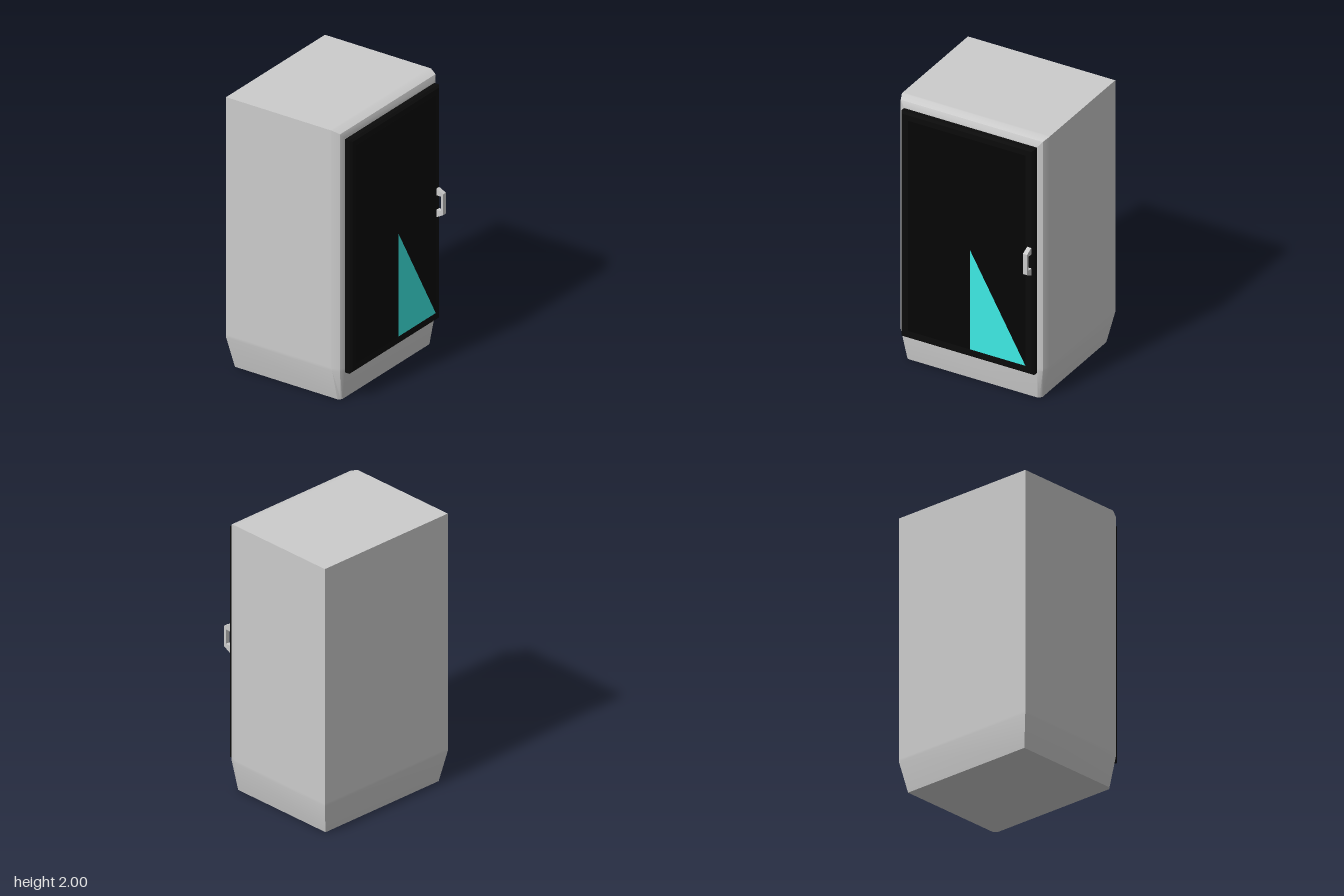
import * as THREE from 'three';
import { toCreasedNormals } from 'three/addons/utils/BufferGeometryUtils.js';

const grey = new THREE.MeshStandardMaterial({ color: 0xcccccc });
const black = new THREE.MeshStandardMaterial({ color: 0x0b0b0b });
const glassBlack = new THREE.MeshStandardMaterial({ color: 0x050505 });
const teal = new THREE.MeshStandardMaterial({ color: 0x3eece5 });

function add(group, name, geometry, material) {
  const mesh = new THREE.Mesh(geometry, material);
  mesh.name = name;
  group.add(mesh);
  return mesh;
}

// Half outline of a horizontal section, back to front: side wall, chamfer, front edge
const section = (y, x, back, chamfer, mid, front) => ({
  y,
  pts: [[x, back], [x, chamfer - 0.015], [x, chamfer], mid, front],
});

// Cabinet shell: mirrored sections stacked from the tapered foot to the chamfered top
function bodyGeometry() {
  const wall = (y) => section(y, 0.565, -0.515, 0.345, [0.545, 0.395], [0.512, 0.411]);
  const rings = [
    section(0, 0.52, -0.475, 0.355, [0.507, 0.373], [0.497, 0.38]),
    wall(0.225),
    wall(0.245),
    wall(1.94),
    section(1.98, 0.565, -0.515, 0.345, [0.545, 0.395], [0.545, 0.395]),
    section(2, 0.565, -0.515, 0.345, [0.565, 0.345], [0.565, 0.345]),
  ];
  const half = 5, n = half * 2;
  const positions = [], index = [];
  for (const { y, pts } of rings) {
    for (const [x, z] of pts) positions.push(x, y, z);
    for (const [x, z] of [...pts].reverse()) positions.push(-x, y, z);
  }
  const quad = (a, b, c, d) => index.push(a, b, c, a, c, d);
  for (let r = 0; r < rings.length - 1; r++) {
    for (let i = 0; i < n; i++) {
      const j = (i + 1) % n, lo = r * n, hi = lo + n;
      quad(lo + i, hi + i, hi + j, lo + j);
    }
  }
  // Floor and top, closed by strips between mirrored points
  const top = (rings.length - 1) * n;
  for (let i = 0; i < half - 1; i++) {
    const a = i, b = i + 1, c = n - 2 - i, d = n - 1 - i;
    quad(a, b, c, d);
    quad(top + d, top + c, top + b, top + a);
  }
  const geometry = new THREE.BufferGeometry();
  geometry.setAttribute('position', new THREE.Float32BufferAttribute(positions, 3));
  geometry.setIndex(index);
  return toCreasedNormals(geometry, 0.5);
}

const polygon = (points) => new THREE.Shape(points.map(([x, y]) => new THREE.Vector2(x, y)));

export function createModel() {
  const model = new THREE.Group();
  model.name = 'cabinet';
  add(model, 'body', bodyGeometry(), grey);

  // Door slab with chamfered edges, its back edge sunk into the body
  const door = new THREE.Group();
  door.name = 'door';
  model.add(door);
  const bevel = 0.014, w = 0.51 - bevel, y0 = 0.21 + bevel, y1 = 1.935 - bevel;
  const slab = new THREE.ExtrudeGeometry(polygon([[-w, y0], [w, y0], [w, y1], [-w, y1]]), {
    depth: 0.038, bevelEnabled: true, bevelSize: bevel, bevelThickness: bevel, bevelSegments: 1,
  });
  slab.translate(0, 0, 0.408);
  add(door, 'doorFrame', slab, black);

  // Dark panel and its triangular inlay
  add(door, 'doorPanel', new THREE.BoxGeometry(0.9, 1.61, 0.006), glassBlack)
    .position.set(0, 1.075, 0.458);
  add(door, 'triangleInlay',
    new THREE.ShapeGeometry(polygon([[0.025, 0.272], [0.452, 0.272], [0.025, 1.035]])), teal)
    .position.z = 0.463;

  // Handle: bracket profile in the side plane, extruded across
  const profile = polygon([
    [0.455, 0.975], [0.46, 0.975], [0.515, 1.005], [0.515, 1.16], [0.46, 1.187], [0.455, 1.187],
    [0.455, 1.137], [0.498, 1.137], [0.498, 1.03], [0.455, 1.03],
  ]);
  const handle = new THREE.ExtrudeGeometry(profile, { depth: 0.032, bevelEnabled: false });
  handle.rotateY(-Math.PI / 2).translate(0.495, 0, 0);
  add(door, 'handle', handle, grey);

  return model;
}
